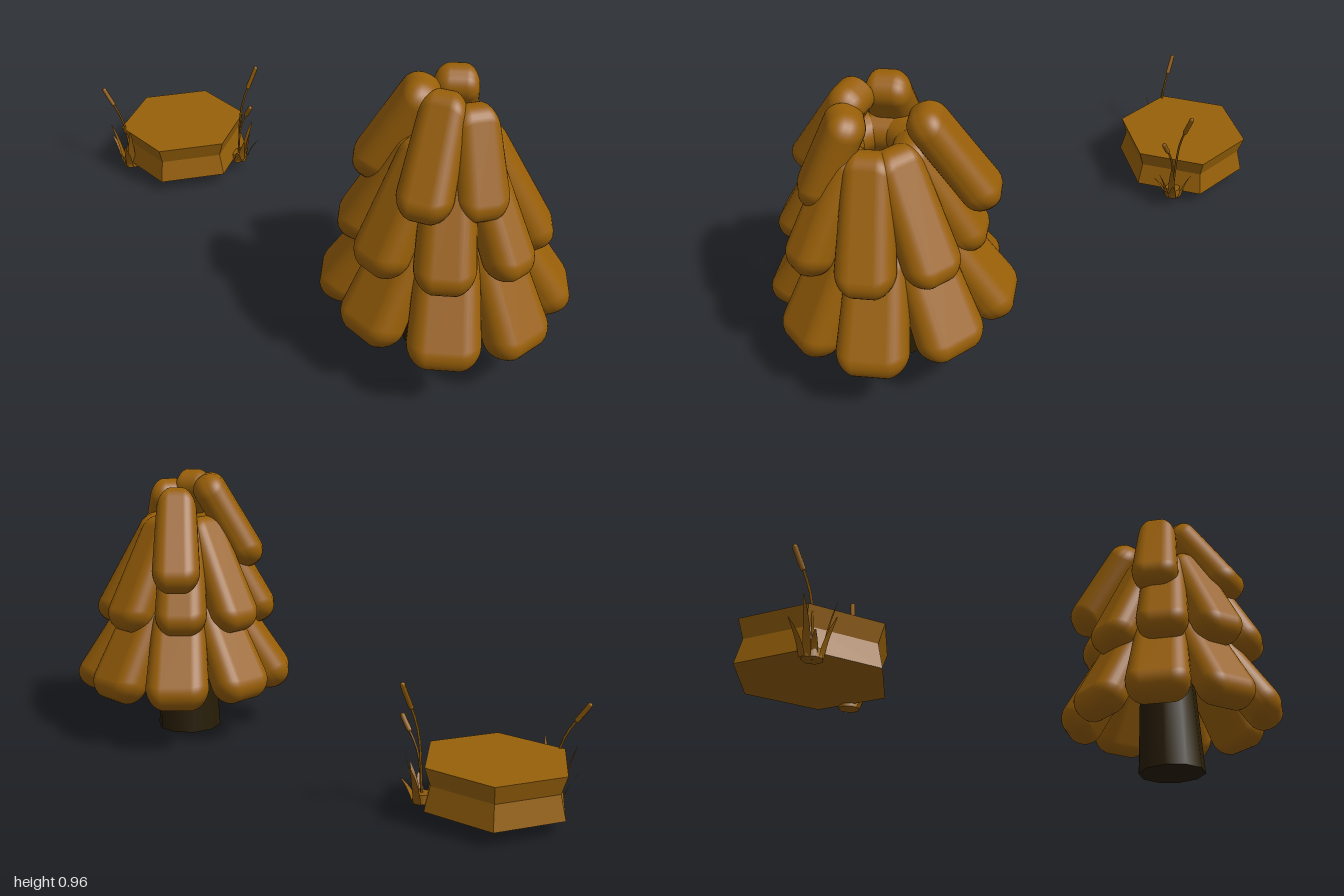
import * as THREE from 'three';
import { RoundedBoxGeometry } from 'three/addons/geometries/RoundedBoxGeometry.js';

const V = (x, y, z) => new THREE.Vector3(x, y, z);

export function createModel() {
  const root = new THREE.Group();
  const ochre = new THREE.MeshStandardMaterial({ name: 'ochre', color: 0x985f08 });
  const bark = new THREE.MeshStandardMaterial({ name: 'darkBark', color: 0x271c05 });
  const stone = new THREE.MeshStandardMaterial({ name: 'stoneOchre', color: 0x966009, flatShading: true });
  const reed = new THREE.MeshStandardMaterial({ name: 'reedOchre', color: 0x8e5a09, side: THREE.DoubleSide });

  const add = (parent, geometry, material, name) => {
    const mesh = new THREE.Mesh(geometry, material);
    mesh.name = name;
    parent.add(mesh);
    return mesh;
  };

  // ---- Tree ----
  const tree = new THREE.Group();
  tree.name = 'tree';
  root.add(tree);

  const trunk = add(tree, new THREE.CylinderGeometry(0.09, 0.118, 0.5, 10), bark, 'trunk');
  trunk.position.set(-0.005, 0.25, 0.607);

  // A soft pad hanging from top to tip, narrower towards the top, with bowed ends
  function pad(top, tip, outward, width, thick, name) {
    const len = top.distanceTo(tip);
    const geometry = new RoundedBoxGeometry(width, len, thick, 4, thick * 0.46);
    const p = geometry.attributes.position;
    for (let i = 0; i < p.count; i++) {
      const x = p.getX(i), y = p.getY(i);
      const edge = (2 * x / width) ** 2;
      p.setX(i, x * (0.92 - 0.2 * (y / len)));
      p.setY(i, y - Math.sign(y) * 0.028 * edge);
    }
    const y = top.clone().sub(tip).normalize();
    const x = y.clone().cross(outward).normalize();
    const z = x.clone().cross(y);
    const mesh = add(tree, geometry, ochre, name);
    mesh.quaternion.setFromRotationMatrix(new THREE.Matrix4().makeBasis(x, y, z));
    mesh.position.copy(top).add(tip).multiplyScalar(0.5);
  }

  // Two full rings of eight pads; diagonal ones may reach further, the front one may hang lower or be slimmer
  const tiers = [
    { name: 'lowerPad', x: 0, z: 0.62, r0: 0.135, y0: 0.51, r1: 0.345, y1: 0.162, w: 0.225, t: 0.13, reach: 0.02, frontDrop: 0.018, frontWidth: 1 },
    { name: 'middlePad', x: -0.022, z: 0.624, r0: 0.075, y0: 0.8, r1: 0.296, y1: 0.408, w: 0.185, t: 0.125, reach: 0, frontDrop: -0.012, frontWidth: 0.88 },
  ];
  for (const t of tiers) {
    for (let i = 0; i < 8; i++) {
      const a = (i / 8) * Math.PI * 2 - 0.07;
      const out = V(Math.sin(a), 0, Math.cos(a));
      const at = (r, y) => V(t.x + out.x * r, y, t.z + out.z * r);
      const drop = i === 0 ? t.frontDrop : 0;
      const width = i === 0 ? t.w * t.frontWidth : t.w;
      pad(at(t.r0, t.y0), at(t.r1 + (i % 2) * t.reach, t.y1 - drop), out, width, t.t, t.name);
    }
  }

  // Four crown pads, leaving a gap at the front left
  const crown = [
    [V(-0.062, 0.952, 0.635), V(-0.262, 0.627, 0.725)],
    [V(-0.025, 0.922, 0.695), V(-0.1, 0.605, 0.825)],
    [V(0.085, 0.912, 0.55), V(0.245, 0.578, 0.4)],
    [V(-0.05, 0.95, 0.56), V(-0.175, 0.62, 0.415)],
  ];
  for (const [top, tip] of crown) {
    const out = tip.clone().sub(top).setY(0).normalize();
    pad(top, tip, out, 0.168, 0.118, 'crownPad');
  }

  // ---- Waisted six-sided stone ----
  const rings = [[0, 0.05], [0.242, 0.05], [0.222, 0.13], [0.242, 0.19], [0, 0.19]];
  const block = add(root, new THREE.LatheGeometry(rings.map(([r, y]) => new THREE.Vector2(r, y)), 6), stone, 'stone');
  block.position.set(0.025, 0, -0.76);

  // ---- Reeds ----
  // Bent flat blade made from a tapering strip
  function blade(parent, from, to, width) {
    const geometry = new THREE.PlaneGeometry(width, 1, 1, 4);
    const p = geometry.attributes.position;
    const lean = to.clone().sub(from);
    const side = V(lean.z, 0, -lean.x).normalize();
    for (let i = 0; i < p.count; i++) {
      const s = p.getY(i) + 0.5;
      const off = p.getX(i) * (1 - 0.85 * s * s);
      const bend = s * s * 0.6 + s * 0.4;
      p.setXYZ(i, from.x + lean.x * bend + side.x * off, from.y + lean.y * s, from.z + lean.z * bend + side.z * off);
    }
    geometry.computeVertexNormals();
    add(parent, geometry, reed, 'blade');
  }

  // Curved stalk with a thicker seed head following its last stretch
  function cattail(parent, from, to, headFrom) {
    const mid = from.clone().lerp(to, 0.25).setY(from.y * 0.4 + to.y * 0.6);
    const curve = new THREE.CatmullRomCurve3([from, mid, to]);
    add(parent, new THREE.TubeGeometry(curve, 10, 0.004, 5), reed, 'stalk');
    const points = [0, 0.33, 0.67, 1].map((s) => curve.getPoint(headFrom + (1 - headFrom) * s));
    add(parent, new THREE.TubeGeometry(new THREE.CatmullRomCurve3(points), 6, 0.0085, 6), reed, 'seedHead');
    for (const end of [points[0], to]) {
      add(parent, new THREE.SphereGeometry(0.0085, 6, 4), reed, 'seedHeadEnd').position.copy(end);
    }
  }

  const clumps = [
    {
      name: 'frontReeds', base: V(0.15, 0.04, -0.575),
      blades: [[0.08, 0.13, -0.01], [0.05, 0.09, 0.06], [-0.02, 0.11, 0.06], [-0.05, 0.07, 0.05], [0.03, 0.16, 0.05], [0.01, 0.06, 0.07]],
      cattails: [[V(0.23, 0.43, -0.55), 0.75], [V(0.155, 0.305, -0.5), 0.8]],
    },
    {
      name: 'backReeds', base: V(-0.172, 0.03, -0.85),
      blades: [[-0.055, 0.12, 0.04], [-0.04, 0.17, -0.06], [-0.02, 0.1, -0.09], [-0.05, 0.07, -0.02], [-0.03, 0.18, 0.05]],
      cattails: [[V(-0.205, 0.34, -0.945), 0.78]],
    },
  ];
  for (const c of clumps) {
    const group = new THREE.Group();
    group.name = c.name;
    root.add(group);
    const foot = add(group, new THREE.CylinderGeometry(0.028, 0.033, 0.03, 7), reed, 'reedFoot');
    foot.position.copy(c.base).add(V(0, 0.015, 0));
    for (const [x, y, z] of c.blades) {
      const start = c.base.clone().add(V(x * 0.4, 0, z * 0.4));
      blade(group, start, c.base.clone().add(V(x, y, z)), 0.028);
    }
    for (const [tip, headFrom] of c.cattails) cattail(group, c.base.clone(), tip, headFrom);
  }

  return root;
}
